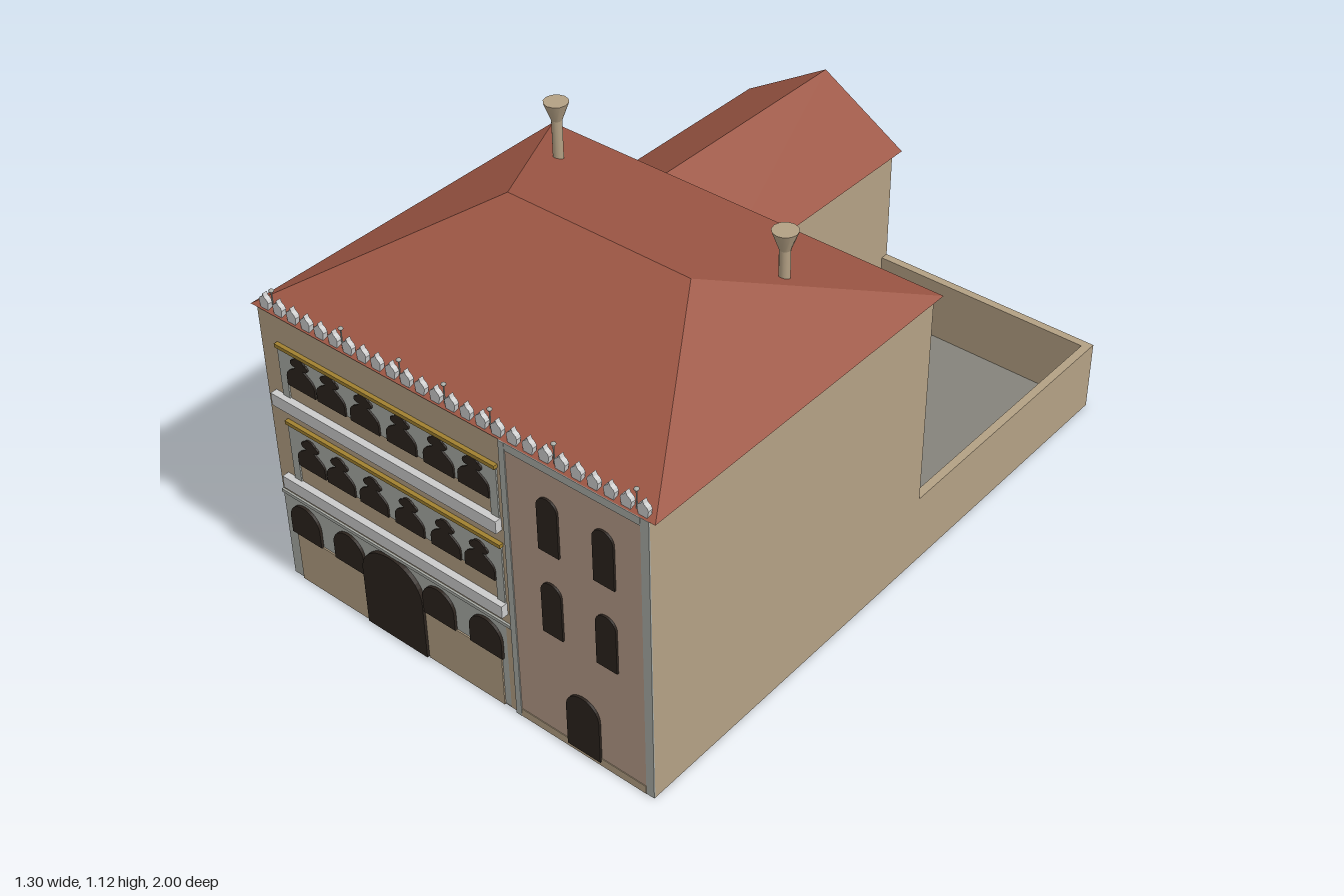
import * as THREE from 'three';

const mat = (color) => new THREE.MeshStandardMaterial({ color, roughness: 0.9, side: THREE.DoubleSide });

export function createModel() {
  const root = new THREE.Group();
  root.name = 'palace';
  const wall = mat(0xb3a084), pink = mat(0xb59a88), roofRed = mat(0x9c5644), stone = mat(0xa9aca6);
  const pale = mat(0xcccccc), dark = mat(0x2c241e), gold = mat(0xa08030), paving = mat(0x85837b);
  roofRed.flatShading = true;

  const add = (name, geo, m, parent = root) => {
    const mesh = new THREE.Mesh(geo, m);
    mesh.name = name;
    parent.add(mesh);
    return mesh;
  };
  const group = (name) => {
    const g = new THREE.Group();
    g.name = name;
    root.add(g);
    return g;
  };
  // box given by its limits on each axis
  const box = (name, x0, x1, y0, y1, z0, z1, m, parent) => {
    const g = new THREE.BoxGeometry(x1 - x0, y1 - y0, z1 - z0);
    g.translate((x0 + x1) / 2, (y0 + y1) / 2, (z0 + z1) / 2);
    return add(name, g, m, parent);
  };
  // flat outline extruded forwards from depth z
  const slab = (name, shape, x, y, z, depth, m, parent) => {
    const g = new THREE.ExtrudeGeometry(shape, { depth, bevelEnabled: false, curveSegments: 10 });
    return add(name, g.translate(x, y, z), m, parent);
  };
  // round-headed opening, standing on y = 0
  const archShape = (w, h, rise = w / 2) => {
    const s = new THREE.Shape();
    s.moveTo(-w / 2, 0).lineTo(w / 2, 0).lineTo(w / 2, h - rise);
    s.absellipse(0, h - rise, w / 2, rise, 0, Math.PI, false);
    s.closePath();
    return s;
  };
  // roof from an eaves rectangle and a ridge segment
  const ridgeRoof = (name, x0, x1, z0, z1, eave, a, b) => {
    const p = [[x0, eave, z0], [x1, eave, z0], [x1, eave, z1], [x0, eave, z1], a, b];
    const alongX = Math.abs(a[0] - b[0]) > Math.abs(a[2] - b[2]);
    // for a ridge along x: a is the -x end; along z: a is the -z end
    const f = alongX
      ? [3, 2, 5, 3, 5, 4, 1, 0, 4, 1, 4, 5, 0, 3, 4, 2, 1, 5]
      : [0, 3, 5, 0, 5, 4, 2, 1, 4, 2, 4, 5, 1, 0, 4, 3, 2, 5];
    f.push(0, 1, 2, 0, 2, 3);
    const g = new THREE.BufferGeometry();
    g.setAttribute('position', new THREE.Float32BufferAttribute(f.flatMap((i) => p[i]), 3));
    g.computeVertexNormals();
    return add(name, g, roofRed);
  };

  // main block, with a portico hollow in its front corner
  const body = group('mainBlock');
  box('upperStoreys', -0.635, 0.632, 0.295, 0.88, -0.105, 0.98, wall, body);
  box('groundRear', -0.635, 0.632, 0, 0.295, -0.105, 0.81, wall, body);
  box('groundRight', 0.16, 0.632, 0, 0.295, 0.81, 0.98, wall, body);
  box('porticoFloor', -0.635, 0.16, 0, 0.006, 0.81, 0.98, paving, body);
  ridgeRoof('mainRoof', -0.655, 0.65, -0.12, 0.983, 0.88, [-0.295, 1.075, 0.43], [0.295, 1.075, 0.43]);

  // rear wing
  box('rearWing', -0.635, -0.1, 0, 0.59, -0.98, -0.105, wall);
  ridgeRoof('rearWingRoof', -0.655, -0.08, -1, -0.1, 0.587, [-0.367, 0.76, -1], [-0.367, 0.76, -0.1]);

  // walled courtyard with a well
  const yard = group('courtyard');
  box('courtyardFloor', -0.1, 0.61, 0.005, 0.02, -0.96, -0.105, paving, yard);
  box('courtyardBackWall', -0.1, 0.632, 0, 0.22, -0.98, -0.955, wall, yard);
  box('courtyardSideWall', 0.607, 0.632, 0, 0.22, -0.955, -0.105, wall, yard);
  box('well', 0.252, 0.328, 0, 0.065, -0.54, -0.465, roofRed, yard);

  // ground floor arcade
  const arcade = group('arcade');
  box('arcadeWall', -0.635, 0.18, 0, 0.295, 0.958, 0.98, stone, arcade);
  box('arcadeLedge', -0.635, 0.18, 0.285, 0.295, 0.98, 0.986, stone, arcade);
  box('leftParapet', -0.597, -0.34, 0, 0.163, 0.98, 0.984, wall, arcade);
  box('rightParapet', -0.125, 0.14, 0, 0.163, 0.98, 0.984, wall, arcade);
  for (const x of [-0.555, -0.393, -0.07, 0.092])
    slab('arcadeArch', archShape(0.11, 0.107), x, 0.163, 0.98, 0.008, dark, arcade);
  slab('mainEntrance', archShape(0.215, 0.28, 0.095), -0.232, 0.005, 0.98, 0.012, dark, arcade);

  // ogee window with a small three-lobed head
  const ogee = new THREE.Shape();
  ogee.moveTo(-0.05, 0).lineTo(0.05, 0).lineTo(0.05, 0.028);
  ogee.bezierCurveTo(0.048, 0.055, 0.016, 0.058, 0.014, 0.07);
  ogee.bezierCurveTo(0.034, 0.066, 0.036, 0.088, 0.02, 0.089);
  ogee.bezierCurveTo(0.014, 0.105, -0.014, 0.105, -0.02, 0.089);
  ogee.bezierCurveTo(-0.036, 0.088, -0.034, 0.066, -0.014, 0.07);
  ogee.bezierCurveTo(-0.016, 0.058, -0.048, 0.055, -0.05, 0.028);

  // two loggia storeys: traceried band, gilded rail and balcony
  for (const [sill, rail, floorY] of [[0.425, 0.545, 0.325], [0.685, 0.788, 0.597]]) {
    const loggia = group('loggia');
    box('traceryBand', -0.575, 0.167, sill, rail, 0.98, 0.984, stone, loggia);
    box('leftPier', -0.575, -0.55, floorY + 0.038, sill, 0.98, 0.984, stone, loggia);
    box('rightPier', 0.142, 0.167, floorY + 0.038, sill, 0.98, 0.984, stone, loggia);
    box('gildedRail', -0.575, 0.17, rail, rail + 0.011, 0.98, 0.992, gold, loggia);
    box('balcony', -0.605, 0.17, floorY, floorY + 0.038, 0.98, 1, pale, loggia);
    for (const x of [-0.495, -0.388, -0.27, -0.145, -0.021, 0.093])
      slab('ogeeWindow', ogee, x, sill, 0.98, 0.009, dark, loggia);
  }

  // plastered right bay with its strips and openings
  const bay = group('rightBay');
  box('plaster', 0.2, 0.607, 0.025, 0.857, 0.98, 0.983, pink, bay);
  box('plinth', 0.2, 0.607, 0, 0.025, 0.98, 0.985, wall, bay);
  box('topBand', 0.2, 0.607, 0.857, 0.88, 0.98, 0.985, stone, bay);
  box('innerPilaster', 0.182, 0.2, 0, 0.88, 0.98, 0.986, stone, bay);
  box('outerPilaster', 0.607, 0.632, 0, 0.88, 0.98, 0.984, stone, bay);
  for (const x of [0.327, 0.497])
    for (const y of [0.355, 0.617]) slab('archedWindow', archShape(0.064, 0.165), x, y, 0.98, 0.009, dark, bay);
  slab('sideDoor', archShape(0.106, 0.185), 0.412, 0.015, 0.98, 0.01, dark, bay);

  // row of pointed merlons along the front eaves
  const merlon = new THREE.Shape();
  merlon.moveTo(-0.013, 0).lineTo(0.013, 0).lineTo(0.017, 0.022);
  merlon.lineTo(0.013, 0.03).lineTo(0.004, 0.036).lineTo(0, 0.046);
  merlon.lineTo(-0.004, 0.036).lineTo(-0.013, 0.03).lineTo(-0.017, 0.022);
  const merlons = group('merlons');
  for (let i = 0; i < 26; i++) slab('merlon', merlon, -0.61 + i * 0.0488, 0.881, 0.964, 0.014, pale, merlons);
  for (const x of [-0.586, -0.342, -0.146, 0, 0.146, 0.342, 0.586]) {
    add('finialStem', new THREE.CylinderGeometry(0.002, 0.002, 0.06, 6).translate(x, 0.91, 0.969), stone, merlons);
    add('finialBall', new THREE.SphereGeometry(0.007, 8, 6).scale(1, 0.7, 1).translate(x, 0.941, 0.969), stone, merlons);
  }

  // flared chimneys
  for (const [x, z] of [[-0.44, 0.09], [0.387, 0.187]]) {
    const chimney = group('chimney');
    chimney.position.set(x, 0, z);
    add('chimneyShaft', new THREE.CylinderGeometry(0.015, 0.015, 0.15, 12).translate(0, 1.0, 0), wall, chimney);
    add('chimneyFlare', new THREE.CylinderGeometry(0.035, 0.015, 0.055, 12).translate(0, 1.0975, 0), wall, chimney);
  }
  return root;
}
